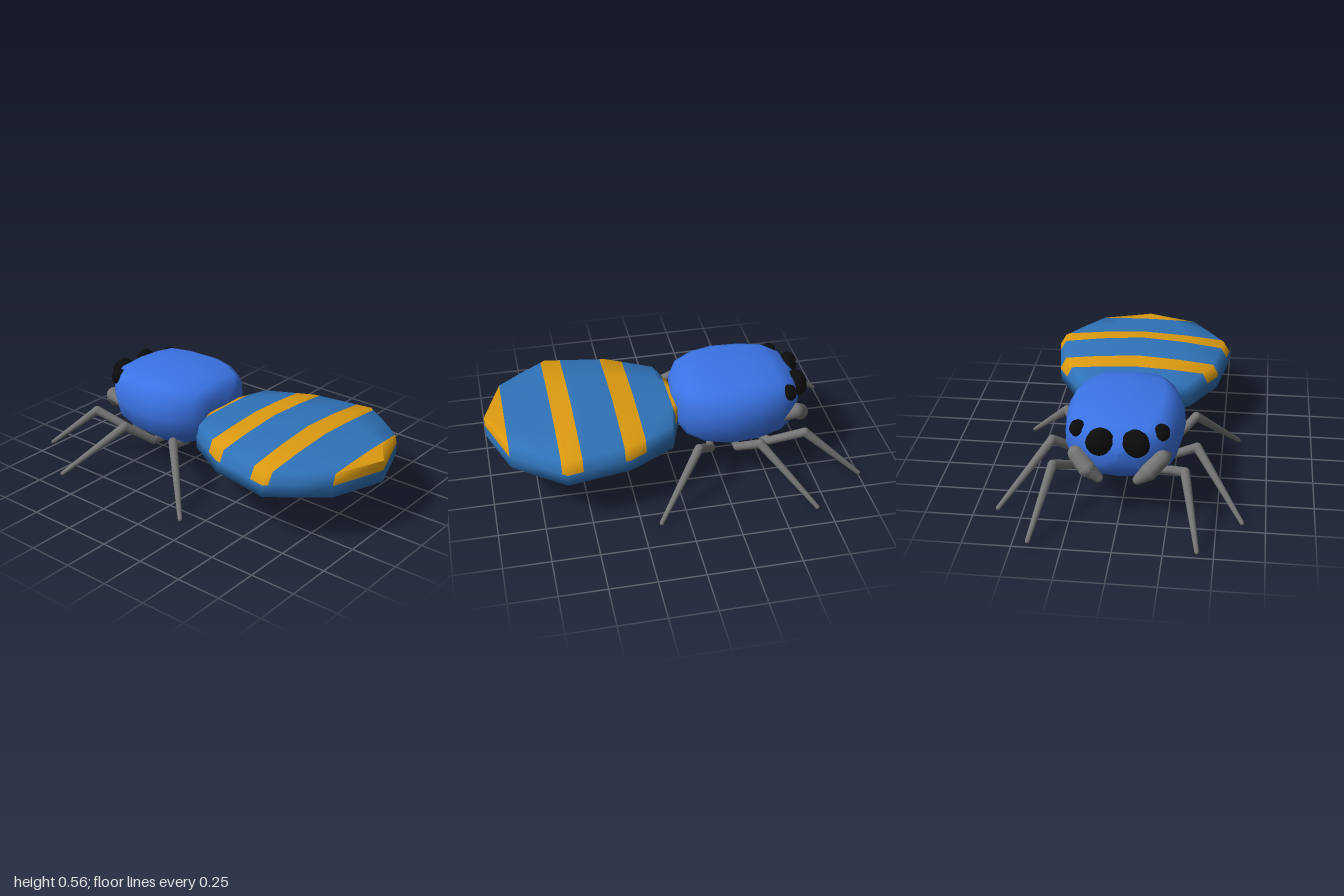
import * as THREE from 'three';

const mat = (name, color, side = THREE.FrontSide) => {
  const m = new THREE.MeshStandardMaterial({ color, side });
  m.name = name;
  return m;
};

// Piecewise-linear lookup in a list of [position, value] pairs
function lookup(table, t) {
  for (let i = 1; i < table.length; i++) {
    const [a, va] = table[i - 1], [b, vb] = table[i];
    if (t <= b) return va + (vb - va) * (t - a) / (b - a);
  }
  return table[table.length - 1][1];
}

// Smooth skin over closed sections (counter-clockwise, z rising);
// quads picked by isSecond go in a second material group
function loft(sections, isSecond = () => false) {
  const n = sections[0].length, first = [], second = [];
  for (let i = 0; i < sections.length - 1; i++) {
    for (let j = 0; j < n; j++) {
      const k = (j + 1) % n;
      const a = i * n + j, b = i * n + k, c = a + n, d = b + n;
      (isSecond(i, j) ? second : first).push(a, b, c, b, d, c);
    }
  }
  const g = new THREE.BufferGeometry();
  g.setAttribute('position', new THREE.Float32BufferAttribute(sections.flat(2), 3));
  g.setIndex([...first, ...second]);
  g.addGroup(0, first.length, 0);
  g.addGroup(first.length, second.length, 1);
  g.computeVertexNormals();
  return g;
}

// Jointed limb: tapered segments with round joints
function limb(name, points, radii, material) {
  const group = new THREE.Group();
  group.name = name;
  const pts = points.map(p => new THREE.Vector3(...p));
  pts.forEach((p, i) => {
    const joint = new THREE.Mesh(new THREE.SphereGeometry(radii[i], 10, 8), material);
    joint.name = 'joint';
    joint.position.copy(p);
    group.add(joint);
    if (i === 0) return;
    const dir = p.clone().sub(pts[i - 1]);
    const seg = new THREE.Mesh(
      new THREE.CylinderGeometry(radii[i], radii[i - 1], dir.length(), 10, 1, true), material);
    seg.name = 'segment';
    seg.position.copy(p).add(pts[i - 1]).multiplyScalar(0.5);
    seg.quaternion.setFromUnitVectors(new THREE.Vector3(0, 1, 0), dir.normalize());
    group.add(seg);
  });
  return group;
}

export function createModel() {
  const model = new THREE.Group();
  model.name = 'spider';
  const headBlue = mat('head blue', 0x3b74e6);
  const bodyBlue = mat('abdomen blue', 0x2f73b9);
  const orange = mat('stripe orange', 0xdc9a10);
  const grey = mat('leg grey', 0x757575);
  const black = mat('eye black', 0x0c0c0c);

  // Abdomen: wide flat body with bands across its upper surface
  const width = [[-0.075, 0], [0.03, 0.31], [0.28, 0.45], [0.62, 0.508], [0.89, 0.31], [1, 0]];
  const top = [[-0.075, 0.4], [0.03, 0.415], [0.48, 0.457], [0.89, 0.412], [1, 0.4]];
  const bottom = [[-0.075, 0.28], [0.03, 0.24], [0.2, 0.195], [0.48, 0.162], [0.76, 0.2], [1, 0.28]];
  const zs = [-0.075, -0.005, 0.03, 0.19, 0.28, 0.31, 0.48, 0.535, 0.62, 0.645, 0.76, 0.895, 1];
  const bands = [[-0.075, -0.005], [0.19, 0.31], [0.535, 0.645], [0.895, 1]];
  const abdomenSections = zs.map(z => {
    const w = lookup(width, z), t = lookup(top, z), b = lookup(bottom, z);
    const s = Math.min(0.405, t), low = 0.28 + (b - 0.28) * 0.7;
    const right = [[w, 0.28], [w, 0.345], [w * 0.93, s], [w * 0.5, s + (t - s) * 0.6]];
    const left = right.map(([x, y]) => [-x, y]).reverse();
    return [...right, [0, t], ...left, [-w * 0.6, low], [0, b], [w * 0.6, low]]
      .map(([x, y]) => [x, y, z]);
  });
  const abdomen = new THREE.Mesh(
    loft(abdomenSections, (i, j) => {
      const mid = (zs[i] + zs[i + 1]) / 2;
      return j >= 1 && j <= 6 && bands.some(([a, b]) => mid > a && mid < b);
    }), [bodyBlue, orange]);
  abdomen.name = 'abdomen';
  model.add(abdomen);

  // Head: rounded box-like sections as [z, half width, top, bottom]
  const half = [[0.6, -0.9], [0.9, -0.55], [1, 0], [0.97, 0.45], [0.85, 0.78], [0.65, 0.94]];
  const profile = [[0, -1], ...half, [0, 1], ...half.map(([x, y]) => [-x, y]).reverse()];
  const headSections = [
    [-0.73, 0, 0.4, 0.36], [-0.715, 0.11, 0.46, 0.28], [-0.66, 0.22, 0.52, 0.23],
    [-0.58, 0.28, 0.55, 0.19], [-0.45, 0.305, 0.562, 0.155], [-0.3, 0.312, 0.564, 0.15],
    [-0.18, 0.28, 0.558, 0.165], [-0.08, 0.22, 0.535, 0.21], [-0.03, 0.13, 0.49, 0.28],
    [-0.02, 0, 0.4, 0.36],
  ].map(([z, w, t, b]) =>
    profile.map(([x, y]) => [x * w, (t + b) / 2 + y * (t - b) / 2, z]));
  const head = new THREE.Mesh(loft(headSections), headBlue);
  head.name = 'head';
  model.add(head);

  for (const s of [1, -1]) {
    const side = s > 0 ? 'left' : 'right';

    // Eyes: [name, centre, radii]
    for (const [name, [x, y, z], size] of [
      ['FrontEye', [0.09, 0.452, -0.705], [0.073, 0.075, 0.052]],
      ['SideEye', [0.21, 0.478, -0.627], [0.045, 0.046, 0.042]],
    ]) {
      const eye = new THREE.Mesh(new THREE.SphereGeometry(1, 10, 8), black);
      eye.name = side + name;
      eye.position.set(x * s, y, z);
      eye.scale.set(...size);
      eye.rotation.y = s * 0.25;
      model.add(eye);
    }

    // Legs: hip, knee, foot
    [
      [[0.12, 0.165, -0.47], [0.25, 0.2, -0.52], [0.335, 0.295, -0.69], [0.418, 0.03, -0.99]],
      [[0.12, 0.16, -0.34], [0.25, 0.185, -0.34], [0.38, 0.29, -0.43], [0.63, 0.012, -0.69]],
      [[0.12, 0.165, -0.21], [0.25, 0.2, -0.19], [0.355, 0.29, -0.1], [0.59, 0.012, 0.15]],
    ].forEach((pts, i) => model.add(limb(`${side}Leg${i + 1}`,
      pts.map(([x, y, z]) => [x * s, y, z]), [0.018, 0.023, 0.025, 0.012], grey)));

    // Feelers curling round under the eyes
    model.add(limb(side + 'Feeler', [
      [0.14, 0.2, -0.54], [0.235, 0.34, -0.6], [0.215, 0.355, -0.67],
      [0.155, 0.3, -0.715], [0.1, 0.25, -0.715],
    ].map(([x, y, z]) => [x * s, y, z]), [0.018, 0.026, 0.044, 0.046, 0.026], grey));
  }
  return model;
}
